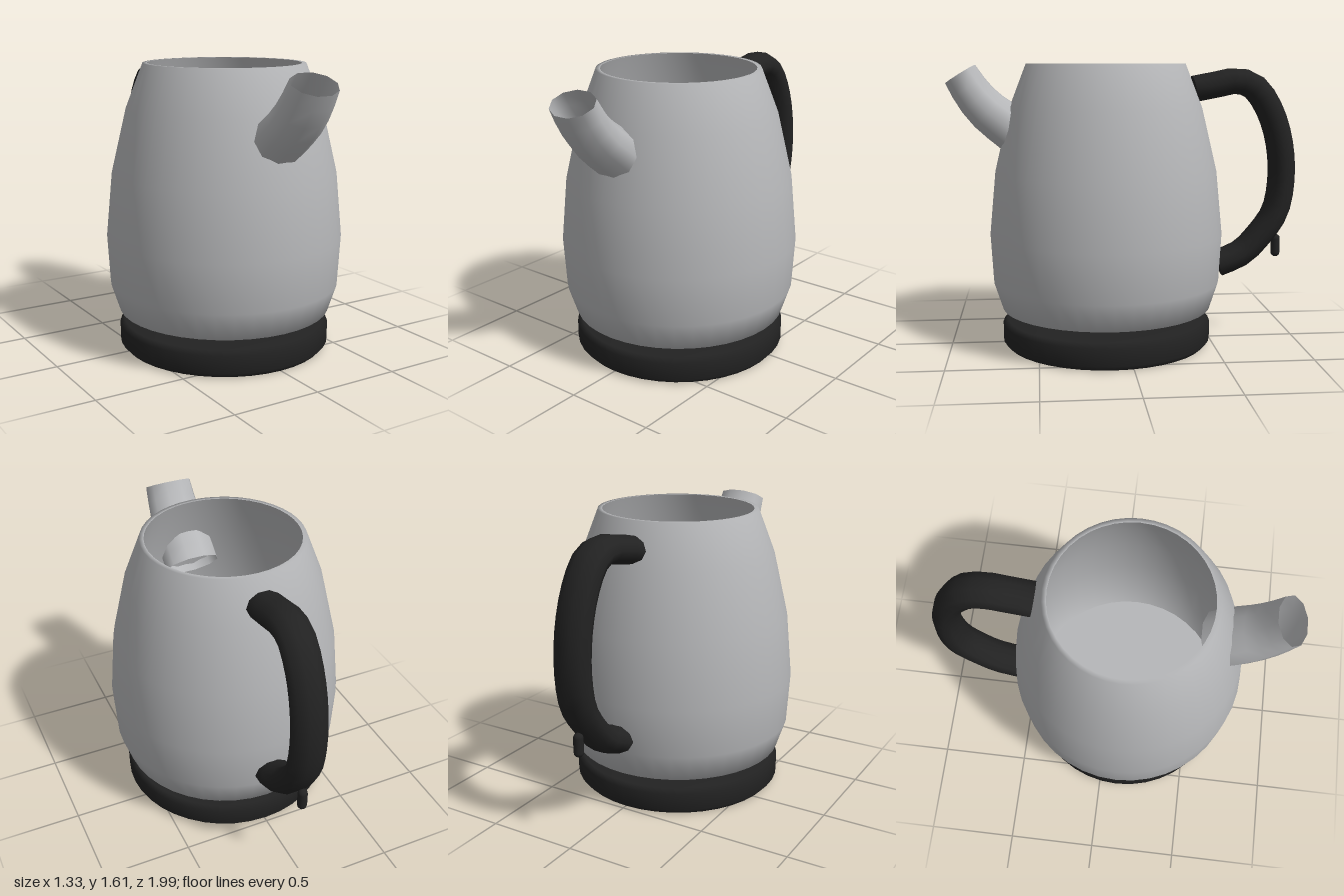
import * as THREE from 'three';

const steel = new THREE.MeshStandardMaterial({ color: 0xb6b7b9, side: THREE.DoubleSide });
steel.name = 'brushed steel';
const black = new THREE.MeshStandardMaterial({ color: 0x222222 });
black.name = 'black plastic';

const CENTER_Z = 0.105; // axis of the round body and base

function part(name, geometry, material) {
  const mesh = new THREE.Mesh(geometry, material);
  mesh.name = name;
  return mesh;
}

// Turned part; a repeated profile point makes a sharp edge
function turned(profile) {
  const geo = new THREE.LatheGeometry(profile.map(([r, y]) => new THREE.Vector2(r, y)), 40);
  return geo.translate(0, 0, CENTER_Z);
}

// Sweeps an ellipse along a [z, y] path; halfSize(t) gives [across, inPlane]
function sweep(path, steps, sides, halfSize, capped) {
  const curve = new THREE.CatmullRomCurve3(path.map(([z, y]) => new THREE.Vector3(0, y, z)));
  const X = new THREE.Vector3(1, 0, 0);
  const pos = [], index = [];
  for (let i = 0; i <= steps; i++) {
    const t = i / steps;
    const c = curve.getPointAt(t);
    const n = curve.getTangentAt(t).cross(X);
    const [a, b] = halfSize(t);
    for (let j = 0; j < sides; j++) {
      const ang = (j / sides) * Math.PI * 2;
      const p = c.clone().addScaledVector(X, a * Math.cos(ang)).addScaledVector(n, b * Math.sin(ang));
      pos.push(p.x, p.y, p.z);
    }
  }
  for (let i = 0; i < steps; i++) {
    for (let j = 0; j < sides; j++) {
      const k = (j + 1) % sides;
      const a = i * sides + j, b = i * sides + k;
      index.push(a, b, b + sides, a, b + sides, a + sides);
    }
  }
  // Flat end caps with their own vertices
  if (capped) {
    for (const end of [0, steps]) {
      const first = pos.length / 3;
      pos.push(...pos.slice(end * sides * 3, (end + 1) * sides * 3));
      for (let j = 1; j < sides - 1; j++) {
        if (end === 0) index.push(first, first + j + 1, first + j);
        else index.push(first, first + j, first + j + 1);
      }
    }
  }
  const geo = new THREE.BufferGeometry();
  geo.setAttribute('position', new THREE.Float32BufferAttribute(pos, 3));
  geo.setIndex(index);
  geo.computeVertexNormals();
  return geo;
}

export function createModel() {
  const kettle = new THREE.Group();
  kettle.name = 'kettle';

  // Heating base
  kettle.add(part('base', turned([
    [0, 0], [0.575, 0], [0.575, 0], [0.6, 0.028], [0.6, 0.125], [0.575, 0.15], [0.4, 0.157], [0, 0.157],
  ]), black));

  // Hollow jug: outer wall, rim, inner wall and floor
  kettle.add(part('body', turned([
    [0, 0.188], [0.49, 0.188], [0.6, 0.215], [0.65, 0.37], [0.665, 0.64], [0.63, 1.0],
    [0.545, 1.36], [0.45, 1.605], [0.425, 1.605], [0.425, 1.605],
    [0.515, 1.36], [0.6, 1.0], [0.635, 0.64], [0.62, 0.37], [0.57, 0.235], [0.57, 0.235], [0, 0.235],
  ]), steel));

  // Open spout, running through the wall
  kettle.add(part('spout', sweep(
    [[0.565, 1.175], [0.67, 1.265], [0.77, 1.345], [0.845, 1.43], [0.918, 1.548]],
    6, 10,
    (t) => {
      const s = Math.min(1, Math.max(0, (t - 0.35) / 0.65));
      return [0.166 - 0.026 * s, 0.126 - 0.026 * s];
    }, false), steel));

  // Handle loop
  kettle.add(part('handle', sweep(
    [[-0.4, 1.462], [-0.52, 1.485], [-0.65, 1.507], [-0.745, 1.475], [-0.835, 1.355], [-0.9, 1.17],
      [-0.92, 0.95], [-0.885, 0.745], [-0.79, 0.605], [-0.69, 0.505], [-0.545, 0.442]],
    22, 10, () => [0.102, 0.077], true), black));

  // Small peg under the handle
  const peg = part('handlePeg', new THREE.CapsuleGeometry(0.027, 0.08, 4, 12), black);
  peg.position.set(0, 0.545, -0.895);
  kettle.add(peg);

  return kettle;
}
